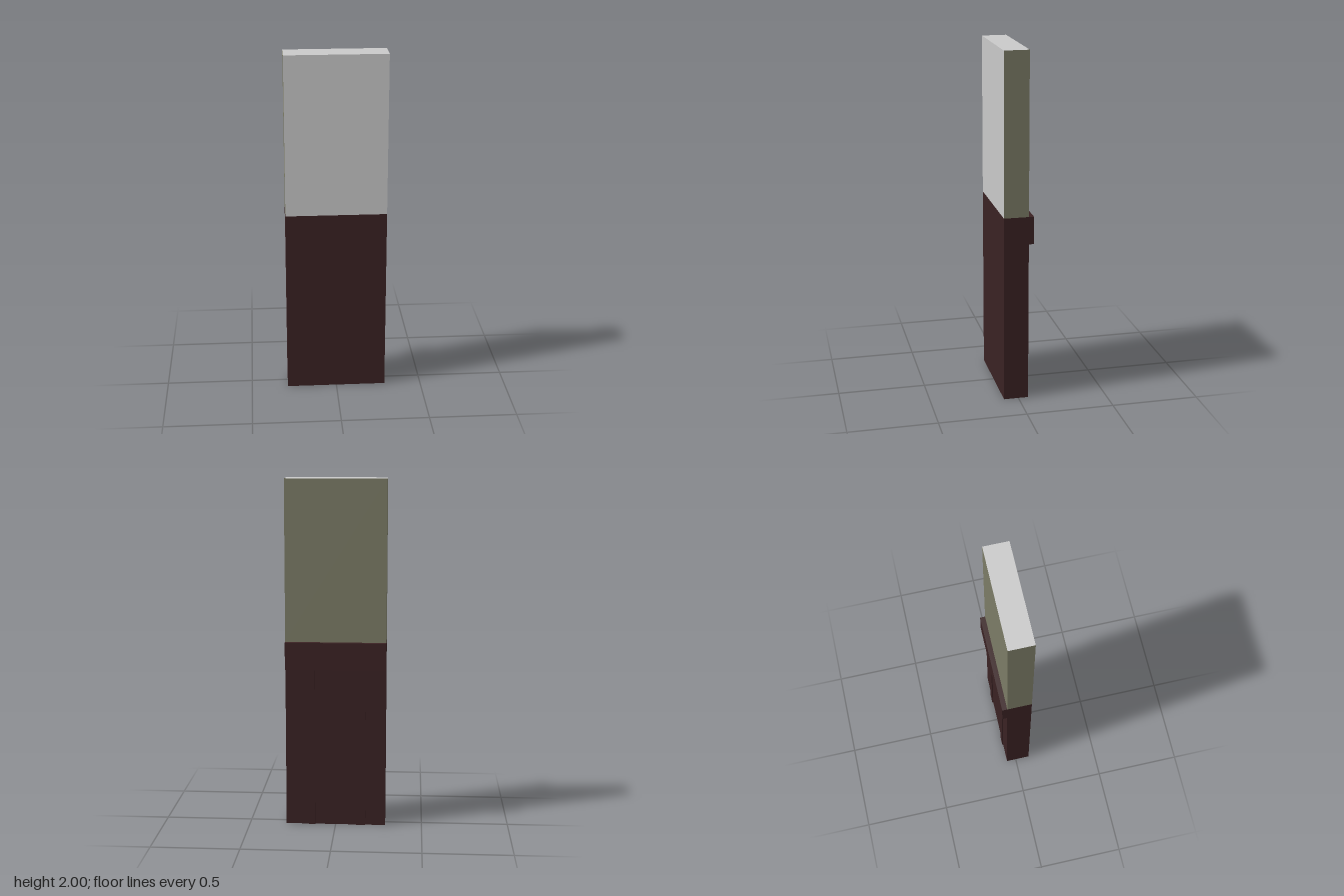
import * as THREE from 'three';

export function createModel() {
  const group = new THREE.Group();
  const mat = (name, color) => {
    const m = new THREE.MeshStandardMaterial({ color });
    m.name = name;
    return m;
  };
  const plaster = mat('pale grey plaster', 0xc9c9c9);
  const olive = mat('olive paint', 0x7c7c66);
  const wood = mat('dark brown wood', 0x3a2223);

  const halfWidth = 0.287, front = 0.084, back = -0.057;
  const railTop = 1.08, railBottom = 0.922;

  // Box given by its extents along each axis
  const block = (name, material, [x0, x1], [y0, y1], [z0, z1]) => {
    const mesh = new THREE.Mesh(new THREE.BoxGeometry(x1 - x0, y1 - y0, z1 - z0), material);
    mesh.position.set((x0 + x1) / 2, (y0 + y1) / 2, (z0 + z1) / 2);
    mesh.name = name;
    group.add(mesh);
  };
  const fullWidth = [-halfWidth, halfWidth];

  // Upper wall: grey on the front and top, olive on the other faces
  block('upperWall', [olive, olive, plaster, olive, plaster, olive],
    fullWidth, [railTop, 2], [back, front]);

  // Wood-panelled lower wall and the rail along its back
  block('lowerWall', wood, fullWidth, [0, railTop], [back, front]);
  block('chairRail', wood, fullWidth, [railBottom, railTop], [-0.086, back]);

  // Thin vertical battens under the rail
  for (const x of [-0.146, 0.146]) {
    block('batten', wood, [x - 0.027, x + 0.027], [0, railBottom], [-0.063, back]);
  }
  return group;
}
